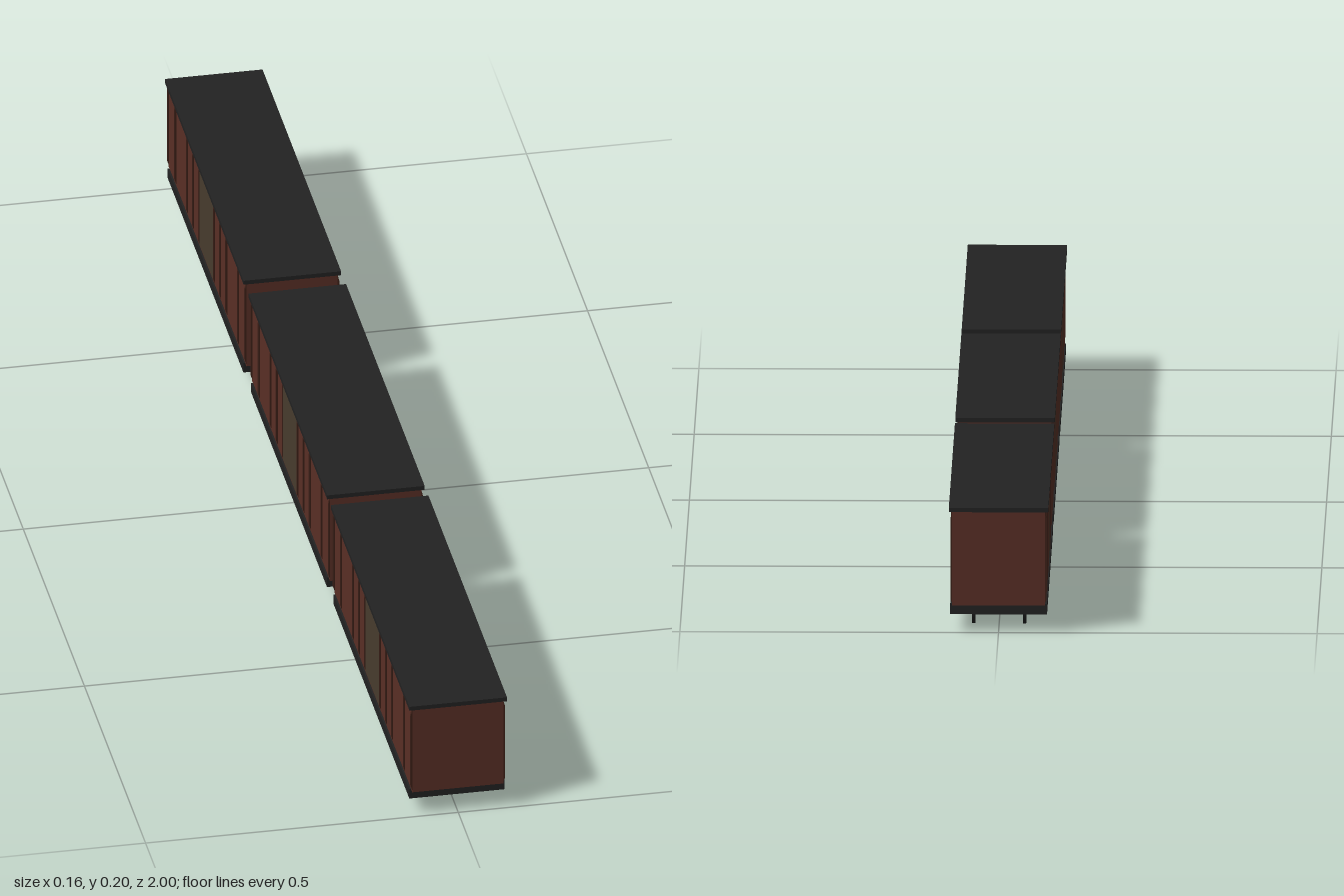
import * as THREE from 'three';

const material = (color) => new THREE.MeshStandardMaterial({ color });
const brown = material(0x5a2f26);
const darkBrown = material(0x3d2018);
const olive = material(0x483d2e);
const black = material(0x222222);

function add(parent, name, geometry, mat, x, y, z) {
  const mesh = new THREE.Mesh(geometry, mat);
  mesh.name = name;
  mesh.position.set(x, y, z);
  parent.add(mesh);
  return mesh;
}

const box = (w, h, d) => new THREE.BoxGeometry(w, h, d);

// Upright side rib with tapered top and bottom, facing outwards along +x
function ribGeometry() {
  const s = new THREE.Shape();
  s.moveTo(0, 0.047);
  s.lineTo(0.0025, 0.054);
  s.lineTo(0.0025, 0.182);
  s.lineTo(0, 0.192);
  s.closePath();
  const g = new THREE.ExtrudeGeometry(s, { depth: 0.005, bevelEnabled: false });
  return g.translate(0, 0, -0.0025);
}

// Four-wheel truck: frame, axles, thin wheels
function createBogie() {
  const bogie = new THREE.Group();
  bogie.name = 'bogie';
  add(bogie, 'bogieFrame', box(0.134, 0.006, 0.12), black, 0, 0.026, 0);
  for (const z of [-0.0465, 0.0465]) {
    const axle = new THREE.CylinderGeometry(0.009, 0.009, 0.13, 12).rotateZ(Math.PI / 2);
    add(bogie, 'axle', axle, black, 0, 0.025, z);
    for (const x of [-0.04, 0.04]) {
      const wheel = new THREE.CylinderGeometry(0.025, 0.025, 0.005, 24).rotateZ(Math.PI / 2);
      add(bogie, 'wheel', wheel, black, x, 0.025, z);
    }
  }
  return bogie;
}

function createCar() {
  const car = new THREE.Group();
  car.name = 'boxcar';
  add(car, 'body', box(0.146, 0.151, 0.638), brown, 0, 0.1185, 0);
  add(car, 'roof', box(0.156, 0.007, 0.643), black, 0, 0.1965, 0);
  add(car, 'underframe', box(0.152, 0.017, 0.62), black, 0, 0.0355, 0);

  // Sliding door and ribs on both sides
  const rib = ribGeometry();
  for (const side of [-1, 1]) {
    const wall = new THREE.Group();
    wall.name = 'sideDetails';
    wall.rotation.y = side < 0 ? Math.PI : 0;
    add(wall, 'door', box(0.003, 0.137, 0.112), olive, 0.0732, 0.119, 0);
    for (const z of [0.06, 0.11, 0.16, 0.257, 0.3165]) {
      add(wall, 'rib', rib, darkBrown, 0.073, 0, z);
      add(wall, 'rib', rib, darkBrown, 0.073, 0, -z);
    }
    car.add(wall);
  }

  for (const z of [-0.201, 0.201]) {
    const bogie = createBogie();
    bogie.position.z = z;
    car.add(bogie);
  }
  return car;
}

export function createModel() {
  const train = new THREE.Group();
  train.name = 'freightTrain';
  for (const z of [0.6785, 0.005, -0.6785]) {
    const car = createCar();
    car.position.z = z;
    train.add(car);
  }
  return train;
}
